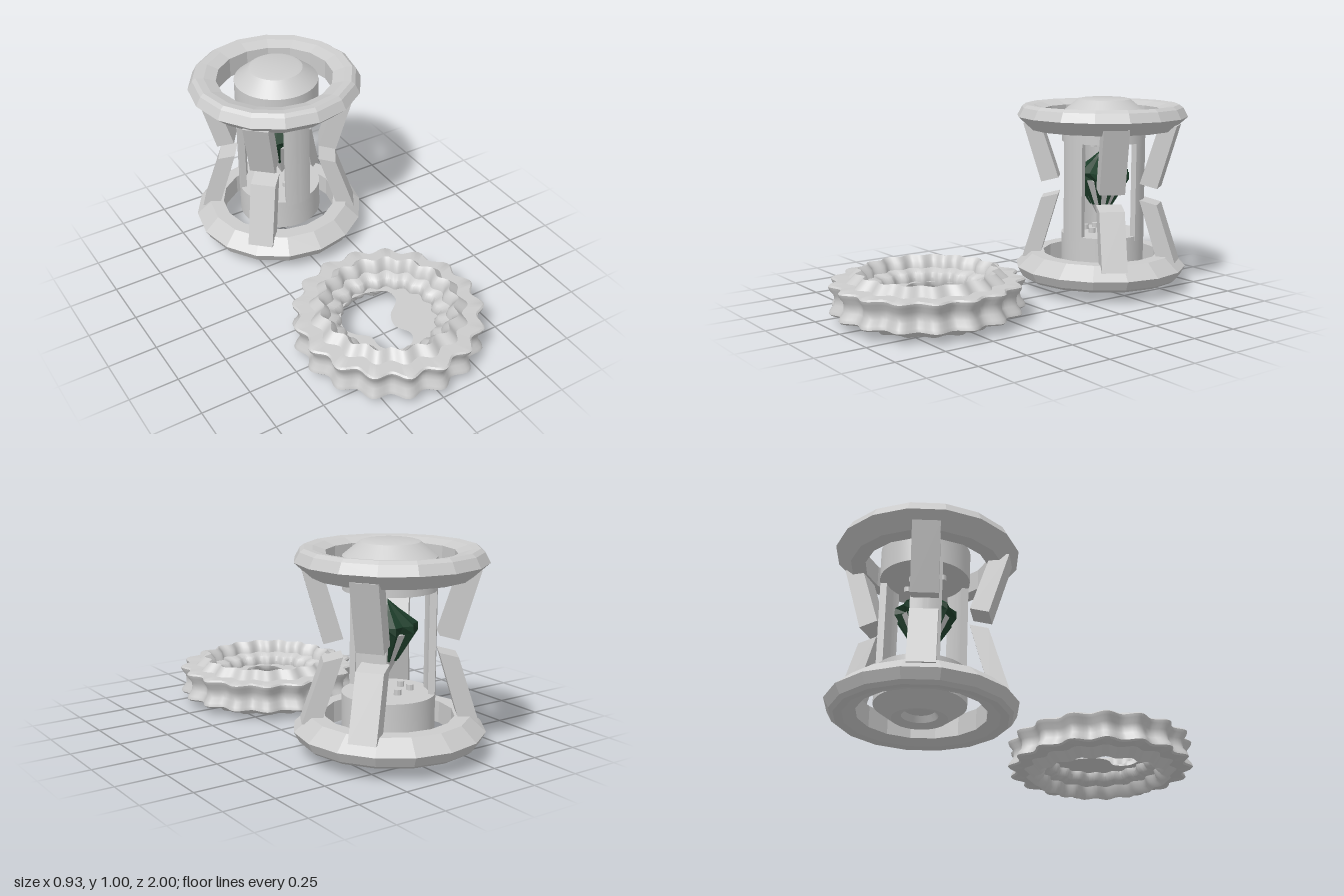
import * as THREE from 'three';
import { toCreasedNormals } from 'three/addons/utils/BufferGeometryUtils.js';

const grey = new THREE.MeshStandardMaterial({ color: 0xcccccc });
const greyFlat = new THREE.MeshStandardMaterial({ color: 0xcccccc, flatShading: true });
const greyThin = new THREE.MeshStandardMaterial({ color: 0xcccccc, side: THREE.DoubleSide });
const green = new THREE.MeshStandardMaterial({ color: 0x1d3d2a, flatShading: true });

const pts = (list) => list.map(([x, y]) => new THREE.Vector2(x, y));

function add(parent, name, geometry, material, x = 0, y = 0, z = 0) {
  const mesh = new THREE.Mesh(geometry, material);
  mesh.name = name;
  mesh.position.set(x, y, z);
  parent.add(mesh);
  return mesh;
}

// Lathe whose radius is scaled by a rule of the angle
function wavyLathe(profile, segments, scale) {
  const geometry = new THREE.LatheGeometry(pts(profile), segments);
  const p = geometry.attributes.position;
  for (let i = 0; i < p.count; i++) {
    const k = scale(Math.atan2(p.getX(i), p.getZ(i)), p.getY(i));
    p.setX(i, p.getX(i) * k);
    p.setZ(i, p.getZ(i) * k);
  }
  return geometry;
}

// Broken strut: a box sheared outward along its height, with a slanted broken end
function strutGeometry(y0, r0, y1, r1, slantTop) {
  const geometry = new THREE.BoxGeometry(0.09, 1, 0.13);
  const p = geometry.attributes.position;
  for (let i = 0; i < p.count; i++) {
    const t = p.getY(i) + 0.5;
    const broken = slantTop ? t : 1 - t;
    const x = p.getX(i);
    p.setX(i, x + r0 + (r1 - r0) * t);
    p.setY(i, y0 + (y1 - y0) * t - broken * x * 0.25);
  }
  return geometry;
}

function createCapsule() {
  const capsule = new THREE.Group();
  capsule.name = 'capsule';
  capsule.position.set(0, 0, -0.547);

  // Faceted end rings
  const ring = [[0.30, 0.84], [0.37, 0.84], [0.445, 0.908], [0.42, 0.955], [0.40, 0.97],
    [0.36, 0.965], [0.30, 0.945], [0.30, 0.84]];
  add(capsule, 'upperRing', new THREE.LatheGeometry(pts(ring), 16), greyFlat);
  const lowerRing = ring.map(([r, y]) => [r * 1.01, 1.03 - y]).reverse();
  add(capsule, 'lowerRing', new THREE.LatheGeometry(pts(lowerRing), 16), greyFlat);

  // Core hubs
  const core = new THREE.Group();
  core.name = 'core';
  core.position.set(0.01, 0, -0.005);
  capsule.add(core);
  const upperHub = [[0, 0.777], [0.216, 0.777], [0.216, 0.93], [0.137, 0.995], [0.12, 1], [0, 1]];
  const lowerHub = [[0, 0.11], [0.07, 0.11], [0.085, 0.08], [0.13, 0.065], [0.216, 0.13],
    [0.216, 0.295], [0, 0.295]];
  for (const [name, profile] of [['upperHub', upperHub], ['lowerHub', lowerHub]]) {
    add(core, name, toCreasedNormals(new THREE.LatheGeometry(pts(profile), 48), 0.4), grey);
  }

  // Three curved pillars joining the hubs
  const a = 0.345;
  const arc = new THREE.Shape();
  arc.absarc(0, 0, 0.217, -a, a, false);
  arc.absarc(0, 0, 0.185, a, -a, true);
  const pillar = new THREE.ExtrudeGeometry(arc, { depth: 0.55, bevelEnabled: false, curveSegments: 8 });
  pillar.rotateX(-Math.PI / 2);
  for (let i = 0; i < 3; i++) {
    add(core, 'pillar', toCreasedNormals(pillar, 0.4), grey, 0, 0.27, 0)
      .rotation.y = -(Math.PI / 2 + i * Math.PI * 2 / 3);
  }

  // Small studs on both hub faces
  const stud = new THREE.CylinderGeometry(0.018, 0.018, 0.028, 10);
  for (const y of [0.307, 0.765]) {
    for (let i = 0; i < 6; i++) {
      const t = (i + 0.5) * Math.PI / 3;
      add(core, 'stud', stud, greyFlat, 0.115 * Math.cos(t), y, 0.07 * Math.sin(t));
    }
  }

  // Fluted green crystal over a pale pointed heart
  const crystal = [[0, 0.46], [0.06, 0.445], [0.15, 0.585], [0.148, 0.62], [0.06, 0.685], [0, 0.735]];
  const flutes = (t, y) => (Math.round(t / (Math.PI / 9)) % 2 ? (y < 0.6 ? 0.7 : 0.86) : 1);
  add(core, 'crystal', wavyLathe(crystal, 18, flutes), green, 0.008, 0, 0.015);
  add(core, 'crystalHeart', new THREE.LatheGeometry(pts([[0, 0.345], [0.125, 0.58], [0, 0.6]]), 9),
    greyFlat, 0.008, 0, 0.015);

  // Broken struts reaching in from each ring
  const struts = [[30, 0.548, 0.463], [133, 0.575, 0.49], [214, 0.56, 0.48], [324, 0.555, 0.47]];
  for (const [deg, upperEnd, lowerEnd] of struts) {
    const turn = -THREE.MathUtils.degToRad(deg);
    add(capsule, 'upperStrut', strutGeometry(upperEnd, 0.265, 0.87, 0.36, false), greyFlat)
      .rotation.y = turn;
    add(capsule, 'lowerStrut', strutGeometry(0.16, 0.365, lowerEnd, 0.265, true), greyFlat)
      .rotation.y = turn;
  }
  return capsule;
}

function createFlutedRing() {
  const group = new THREE.Group();
  group.name = 'flutedRing';
  group.position.set(0, 0, 0.53);

  // Scalloped body, its profile mirrored about mid height
  const mid = 0.118;
  const outer = [[0.325, 0], [0.37, 0.043], [0.44, 0.045], [0.449, 0.053], [0.444, 0.07], [0.425, 0.095]];
  const inner = [[0.235, 0.1], [0.25, 0.075], [0.29, 0.06], [0.3, 0.025], [0.325, 0]];
  const flip = (list) => list.map(([r, y]) => [r, 2 * mid - y]).reverse();
  const profile = [...outer, [0.422, mid], ...flip(outer), ...flip(inner).slice(1), ...inner];
  const scallop = (t) => 1 + 0.045 * Math.cos(17 * t);
  add(group, 'scallopedBody', toCreasedNormals(wavyLathe(profile, 170, scallop), 0.7), grey);

  // Thin floor with a ragged opening
  const floor = new THREE.Shape();
  floor.absarc(0, 0, 0.25, 0, Math.PI * 2, false);
  const opening = [[0, -0.22], [0.11, -0.175], [0.115, -0.1], [0.03, -0.02], [0.005, 0.057], [0.042, 0.137],
    [0.005, 0.195], [-0.08, 0.195], [-0.135, 0.137], [-0.138, 0.057], [-0.19, 0.004],
    [-0.215, -0.05], [-0.18, -0.144], [-0.1, -0.21]];
  const curve = new THREE.CatmullRomCurve3(
    opening.map(([x, z]) => new THREE.Vector3(x, z, 0)), true);
  floor.holes.push(new THREE.Path(curve.getPoints(70).map((p) => new THREE.Vector2(p.x, p.y))));
  const plate = new THREE.ShapeGeometry(floor, 48);
  plate.rotateX(Math.PI / 2);
  add(group, 'floorPlate', plate, greyThin, 0, mid, 0);
  return group;
}

export function createModel() {
  const model = new THREE.Group();
  model.name = 'coreAndRing';
  model.add(createCapsule(), createFlutedRing());
  return model;
}
